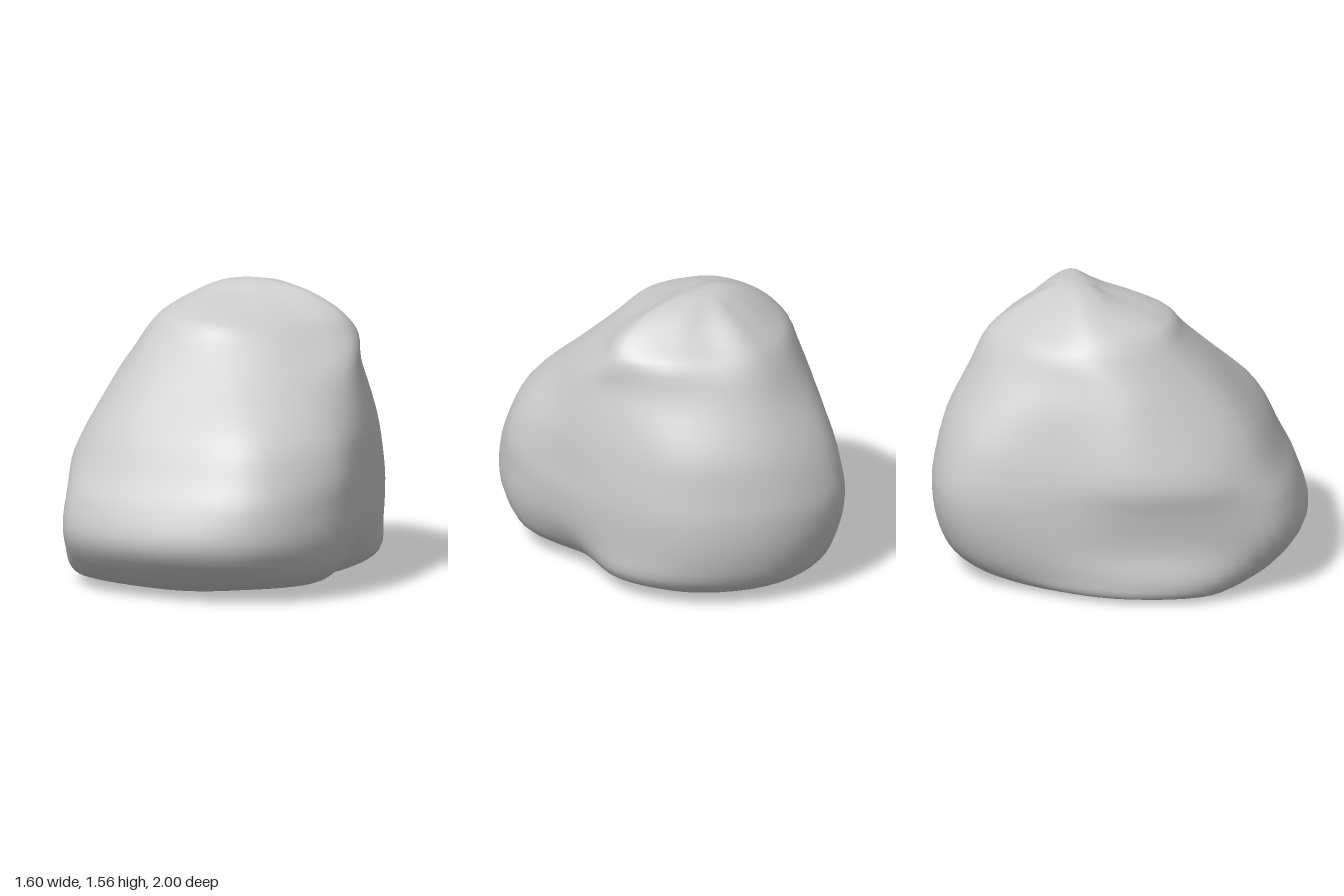
import * as THREE from 'three';

// Directions of the outline points in degrees, from +x turning towards +z
const directions = [0, 30, 60, 90, 126, 150, 180, 215, 246, 270, 300, 330];

// Each section: height, then one radius per direction
const sections = [
  [0.04, 0.50, 0.61, 0.64, 0.70, 0.77, 0.84, 0.75, 0.70, 0.75, 0.76, 0.70, 0.60],
  [0.13, 0.64, 0.82, 0.88, 0.87, 0.92, 0.89, 0.77, 0.74, 0.88, 0.90, 0.84, 0.76],
  [0.30, 0.74, 0.90, 1.01, 1.00, 1.02, 0.87, 0.75, 0.77, 0.97, 0.97, 0.89, 0.78],
  [0.50, 0.77, 0.91, 1.00, 0.95, 0.99, 0.87, 0.77, 0.78, 1.01, 0.99, 0.90, 0.79],
  [0.65, 0.76, 0.90, 0.94, 0.87, 0.91, 0.87, 0.79, 0.77, 0.99, 0.97, 0.88, 0.78],
  [0.85, 0.74, 0.82, 0.84, 0.76, 0.80, 0.78, 0.74, 0.73, 0.92, 0.92, 0.84, 0.75],
  [1.10, 0.67, 0.60, 0.57, 0.54, 0.60, 0.61, 0.64, 0.66, 0.77, 0.80, 0.72, 0.68],
  [1.30, 0.60, 0.53, 0.54, 0.57, 0.61, 0.57, 0.52, 0.46, 0.46, 0.48, 0.45, 0.50],
  [1.40, 0.53, 0.42, 0.42, 0.48, 0.52, 0.48, 0.43, 0.34, 0.34, 0.37, 0.32, 0.38],
  [1.50, 0.36, 0.22, 0.18, 0.15, 0.22, 0.27, 0.28, 0.20, 0.18, 0.20, 0.19, 0.25],
  [1.55, 0.18, 0.10, 0.07, 0.06, 0.08, 0.12, 0.15, 0.11, 0.09, 0.09, 0.10, 0.14],
];
const SIDES = 60;
const STEPS = 52;

// Smooth closed outline through one section; the summit sits behind the middle
function outline([y, ...radii]) {
  const cz = y > 1.2 ? -0.22 : 0;
  const points = radii.map((r, i) => {
    const a = THREE.MathUtils.degToRad(directions[i]);
    return new THREE.Vector3(r * Math.cos(a), y, cz + r * Math.sin(a));
  });
  return new THREE.CatmullRomCurve3(points, true);
}

// Loft: a smooth curve from the base centre to the summit for every side
function boulderGeometry() {
  const outlines = sections.map(outline);
  const positions = [];
  const index = [];
  for (let j = 0; j < SIDES; j++) {
    const ring = outlines.map((o) => o.getPoint(j / SIDES));
    const foot = new THREE.Vector3(ring[0].x * 0.6, 0.02, ring[0].z * 0.6);
    foot.y += 0.015 * Math.sin((j / SIDES) * Math.PI * 6);
    const column = new THREE.CatmullRomCurve3([
      new THREE.Vector3(0, 0.03, 0), foot, ...ring, new THREE.Vector3(0, 1.565, -0.24),
    ]);
    for (let i = 0; i <= STEPS; i++) {
      const p = column.getPoint(i / STEPS);
      positions.push(p.x, Math.max(0, p.y), p.z);
    }
  }
  const row = STEPS + 1;
  for (let j = 0; j < SIDES; j++) {
    for (let i = 0; i < STEPS; i++) {
      const a = j * row + i;
      const b = ((j + 1) % SIDES) * row + i;
      if (i < STEPS - 1) index.push(a, a + 1, b + 1);
      if (i > 0) index.push(a, b + 1, b);
    }
  }
  const geometry = new THREE.BufferGeometry();
  geometry.setAttribute('position', new THREE.Float32BufferAttribute(positions, 3));
  geometry.setIndex(index);
  geometry.computeVertexNormals();

  // The columns share one normal at the base centre and one at the summit
  const normals = geometry.attributes.normal;
  for (let j = 0; j < SIDES; j++) {
    normals.setXYZ(j * row, 0, -1, 0);
    normals.setXYZ(j * row + STEPS, 0, 1, 0);
  }
  return geometry;
}

export function createModel() {
  const group = new THREE.Group();
  group.name = 'rock';
  const boulder = new THREE.Mesh(
    boulderGeometry(),
    new THREE.MeshStandardMaterial({ color: 0xcccccc }),
  );
  boulder.name = 'boulder';
  group.add(boulder);
  return group;
}
